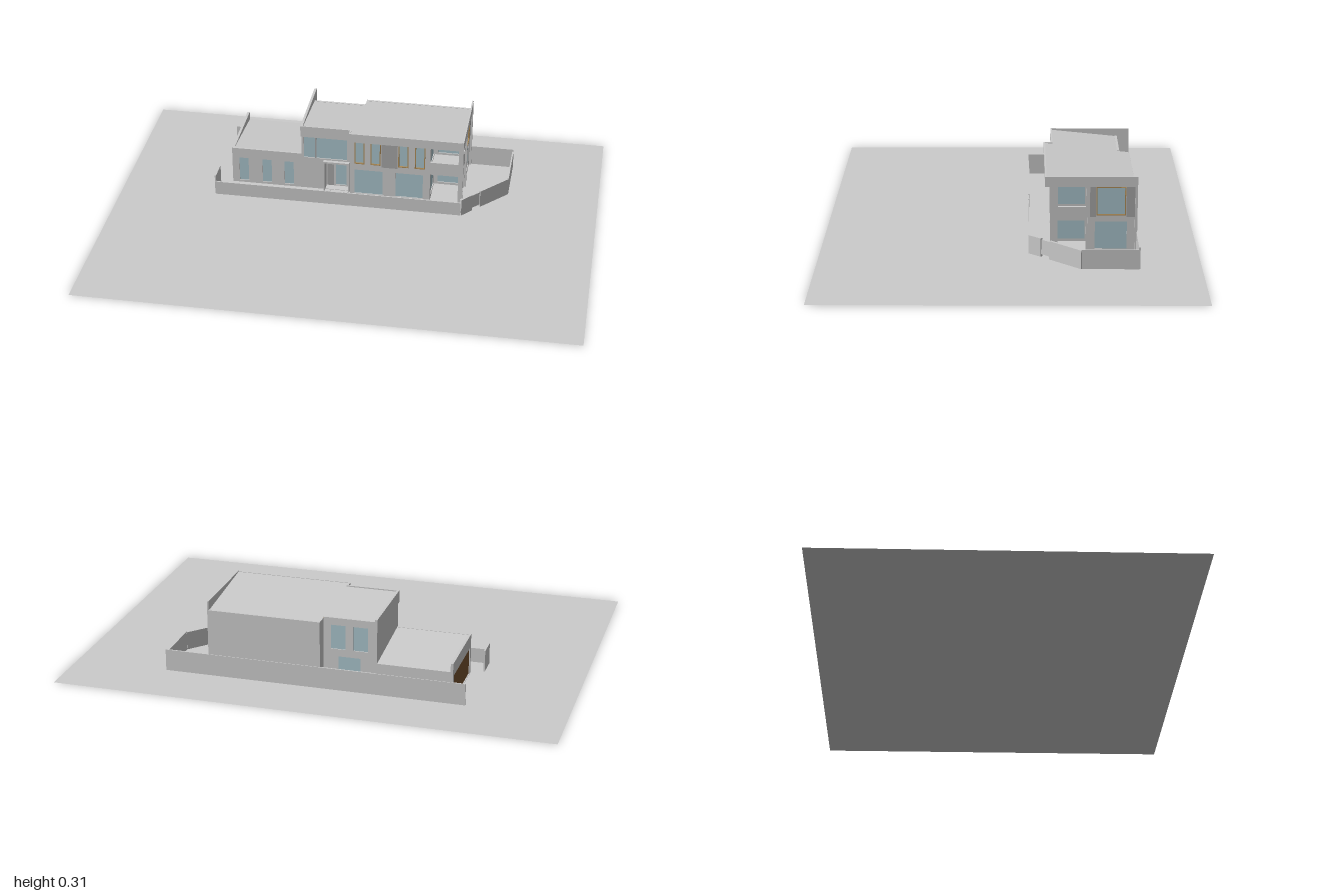
import * as THREE from 'three';

const paint = (color) => new THREE.MeshStandardMaterial({ color, side: THREE.DoubleSide });
const grey = paint(0xcccccc), panel = paint(0xa8a8a8), glass = paint(0xa9c4cc);
const timber = paint(0xb08d57), doorBrown = paint(0x75512f);

export function createModel() {
  const house = new THREE.Group();
  house.name = 'house';

  const add = (name, geometry, material = grey, parent = house) => {
    const mesh = new THREE.Mesh(geometry, material);
    mesh.name = name;
    parent.add(mesh);
    return mesh;
  };

  // Box given by its limits
  const box = (name, x0, x1, y0, y1, z0, z1, material, parent) => {
    const m = add(name, new THREE.BoxGeometry(x1 - x0, y1 - y0, z1 - z0), material, parent);
    m.position.set((x0 + x1) / 2, (y0 + y1) / 2, (z0 + z1) / 2);
    return m;
  };

  // Upright wall with holes; opening = [u0, u1, y0, y1, fill material, framed].
  // Facing 'z': u is x. Facing 'x': u is -z. "at" is the outer plane.
  const T = 0.01;
  const wall = (name, facing, at, u0, u1, y0, y1, openings = []) => {
    const g = new THREE.Group();
    g.name = name;
    const rect = (P, a, b, c, d) => {
      const p = new P();
      p.moveTo(a, c); p.lineTo(b, c); p.lineTo(b, d); p.lineTo(a, d); p.closePath();
      return p;
    };
    const shape = rect(THREE.Shape, u0, u1, y0, y1);
    for (const [a, b, c, d, fill, framed] of openings) {
      shape.holes.push(rect(THREE.Path, a, b, c, d));
      if (fill) box(fill === glass ? 'windowPane' : 'doorPanel', a, b, c, d, 0.004, 0.006, fill, g);
      if (framed) {
        const s = rect(THREE.Shape, a, b, c, d), f = 0.004;
        s.holes.push(rect(THREE.Path, a + f, b - f, c + f, d - f));
        add('windowFrame', new THREE.ExtrudeGeometry(s, { depth: 0.012, bevelEnabled: false }), timber, g);
      }
    }
    add('wallPanel', new THREE.ExtrudeGeometry(shape, { depth: T, bevelEnabled: false }), grey, g);
    if (facing === 'x') {
      g.rotation.y = Math.PI / 2;
      g.position.x = at - T;
    } else g.position.z = at - T;
    house.add(g);
    return g;
  };

  // Roof from a plan outline, tilted down towards the back
  const roof = (name, outline, heightAt) => {
    const geo = new THREE.ShapeGeometry(new THREE.Shape(outline.map(([x, z]) => new THREE.Vector2(x, -z))));
    geo.rotateX(-Math.PI / 2);
    const p = geo.attributes.position;
    for (let i = 0; i < p.count; i++) p.setY(i, heightAt(p.getZ(i)));
    geo.computeVertexNormals();
    add(name, geo);
  };

  // Straight piece of garden wall between two plan points
  const fence = (name, [xa, za], [xb, zb], h, t = 0.006, y0 = 0) => {
    const dx = xb - xa, dz = zb - za;
    const m = add(name, new THREE.BoxGeometry(Math.hypot(dx, dz), h - y0, t));
    m.position.set((xa + xb) / 2, (h + y0) / 2, (za + zb) / 2);
    m.rotation.y = -Math.atan2(dz, dx);
  };

  // Ground
  const ground = add('ground', new THREE.PlaneGeometry(2, 1.48));
  ground.rotation.x = -Math.PI / 2;

  // Garden walls
  fence('backGardenWall', [-0.6, -0.5], [0.62, -0.5], 0.088);
  fence('frontGardenWall', [-0.6, -0.08], [0.44, -0.08], 0.06);
  fence('drivewayWall', [-0.6, -0.08], [-0.6, -0.165], 0.088);
  fence('sideGardenWall', [0.618, -0.28], [0.618, -0.5], 0.078);
  fence('cornerWallA', [0.44, -0.08], [0.48, -0.127], 0.075, 0.01);
  fence('cornerWallB', [0.51, -0.16], [0.618, -0.28], 0.075, 0.01);
  fence('cornerGate', [0.48, -0.127], [0.51, -0.16], 0.07, 0.003, 0.01);
  for (const x of [-0.115, -0.045]) box('gatePost', x - 0.008, x + 0.008, 0, 0.062, -0.084, -0.076);

  // Garage wing
  wall('garageFront', 'z', -0.19, -0.55, -0.25, 0, 0.165,
    [-0.52, -0.42, -0.325].map((x) => [x, x + 0.04, 0.01, 0.12, glass]));
  wall('garageEnd', 'x', -0.54, 0.19, 0.5, 0, 0.165, [[0.205, 0.485, 0.002, 0.112, doorBrown]]);
  wall('garageBack', 'z', -0.49, -0.55, -0.25, 0, 0.13);
  roof('garageRoof', [[-0.55, -0.19], [-0.25, -0.19], [-0.25, -0.5], [-0.55, -0.5]], (z) => 0.165 + (z + 0.19) * 0.113);

  // Entrance part of the main block
  wall('entranceFront', 'z', -0.19, -0.25, -0.04, 0, 0.27, [
    [-0.24, -0.055, 0.15, 0.255, glass],
    [-0.15, -0.05, 0.002, 0.135],
  ]);
  box('windowMullion', -0.192, -0.186, 0.15, 0.255, -0.196, -0.188, panel);
  wall('entranceRecess', 'z', -0.225, -0.15, -0.05, 0, 0.135, [[-0.11, -0.065, 0.005, 0.12, glass]]);
  box('entranceDoor', -0.145, -0.118, 0.002, 0.12, -0.226, -0.222, panel);
  for (const x of [-0.155, -0.05]) box('entranceCheek', x, x + 0.005, 0, 0.14, -0.225, -0.178);
  box('entranceCanopy', -0.155, -0.045, 0.135, 0.143, -0.225, -0.175);
  box('entranceFascia', -0.25, -0.04, 0.26, 0.31, -0.176, -0.17);
  box('entranceSoffit', -0.25, -0.04, 0.26, 0.264, -0.2, -0.17);
  wall('mainLeftWall', 'x', -0.24, 0.19, 0.5, 0, 0.31);
  box('leftParapetEnd', -0.25, -0.24, 0.26, 0.31, -0.19, -0.17);

  // Front facade with the open corner terraces
  const upper = [-0.02, 0.048, 0.165, 0.235].map((x) => [x, x + 0.043, 0.155, 0.267, glass, true]);
  wall('mainFront', 'z', -0.165, -0.04, 0.43, 0, 0.275, [
    ...upper,
    [-0.02, 0.1, 0.01, 0.125, glass], [0.155, 0.27, 0.01, 0.125, glass],
    [0.3, 0.418, 0.002, 0.132], [0.3, 0.418, 0.19, 0.265],
  ]);
  box('facadePanel', 0.094, 0.162, 0.147, 0.275, -0.165, -0.163, panel);
  wall('facadeReturn', 'x', -0.03, 0.165, 0.2, 0, 0.275);

  // Right-hand facade
  wall('mainRight', 'x', 0.43, 0.165, 0.5, 0, 0.275, [
    [0.19, 0.3, 0.002, 0.13], [0.19, 0.3, 0.187, 0.27],
    [0.34, 0.455, 0.152, 0.268, glass, true], [0.335, 0.46, 0.015, 0.127, glass],
  ]);
  for (const [a, b] of [[0.305, 0.338], [0.457, 0.49]])
    box('sidePanel', 0.43, 0.432, 0.147, 0.275, -b, -a, panel);

  // Terrace interiors: floor, glazed inner walls
  box('terraceFloor', 0.29, 0.43, 0.132, 0.146, -0.32, -0.165);
  wall('terraceInnerSide', 'x', 0.3, 0.175, 0.32, 0, 0.275, [
    [0.19, 0.3, 0.01, 0.125, glass], [0.19, 0.3, 0.155, 0.265, glass]]);
  wall('terraceInnerBack', 'z', -0.31, 0.3, 0.42, 0, 0.275, [
    [0.315, 0.405, 0.01, 0.125, glass], [0.315, 0.405, 0.155, 0.265, glass]]);
  for (const z of [-0.165, -0.31]) box('terraceColumn', 0.43, 0.438, 0, 0.275, z - 0.005, z + 0.005);

  // Back walls with the recessed alcove
  wall('mainBack', 'z', -0.49, -0.02, 0.44, 0, 0.275);
  wall('alcoveSide', 'x', -0.01, 0.45, 0.5, 0, 0.275);
  wall('alcoveBack', 'z', -0.44, -0.25, -0.02, 0, 0.28, [
    [-0.2, -0.14, 0.15, 0.25, glass], [-0.11, -0.05, 0.15, 0.25, glass], [-0.17, -0.08, 0.01, 0.12, glass]]);

  // Main roof, fascia and side parapet
  roof('mainRoof', [[-0.25, -0.17], [-0.04, -0.17], [-0.04, -0.14], [0.44, -0.14], [0.44, -0.5],
    [-0.02, -0.5], [-0.02, -0.45], [-0.25, -0.45]], (z) => 0.309 + (z + 0.14) * 0.1);
  box('frontFascia', -0.04, 0.44, 0.275, 0.31, -0.146, -0.14);
  box('fasciaReturn', -0.04, -0.034, 0.275, 0.31, -0.176, -0.14);
  box('rightParapet', 0.434, 0.44, 0.275, 0.312, -0.5, -0.14);
  box('frontSoffit', -0.04, 0.44, 0.271, 0.275, -0.32, -0.14);
  box('rightSoffit', 0.42, 0.44, 0.271, 0.275, -0.5, -0.32);

  return house;
}
